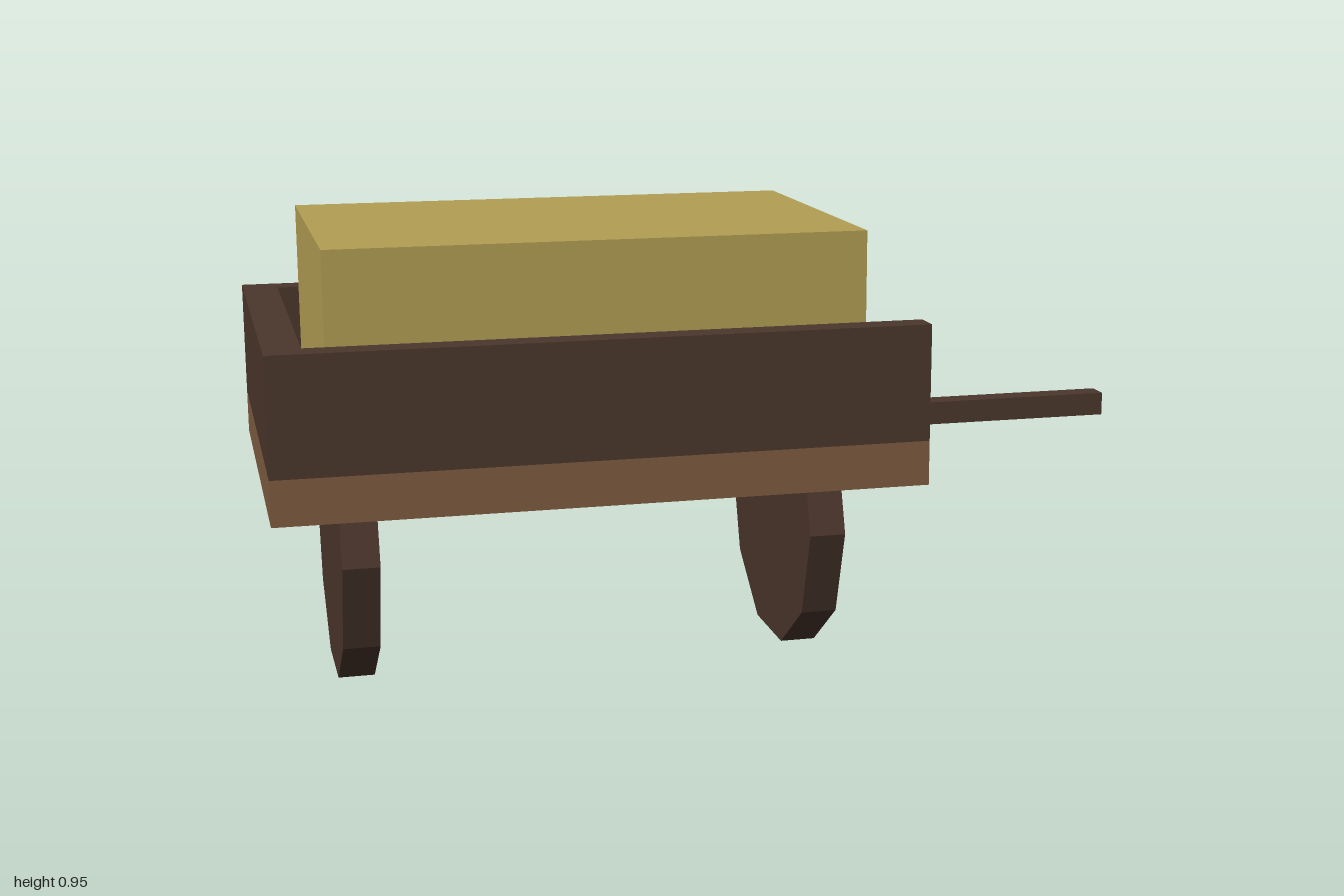
import * as THREE from 'three';

const material = (name, color) => {
  const m = new THREE.MeshStandardMaterial({ color });
  m.name = name;
  return m;
};

export function createModel() {
  const cart = new THREE.Group();
  cart.name = 'handCart';
  const darkWood = material('darkWood', 0x4b362c);
  const lightWood = material('lightWood', 0x7f5d41);
  const straw = material('straw', 0xb39f53);

  const add = (name, geometry, mat) => {
    const mesh = new THREE.Mesh(geometry, mat);
    mesh.name = name;
    cart.add(mesh);
    return mesh;
  };

  // Box given by its limits on each axis
  const box = (name, mat, [x0, x1], [y0, y1], [z0, z1]) =>
    add(name, new THREE.BoxGeometry(x1 - x0, y1 - y0, z1 - z0), mat)
      .position.set((x0 + x1) / 2, (y0 + y1) / 2, (z0 + z1) / 2);

  // Bed with three boards, open at the handle end
  box('bed', lightWood, [-1, 0.33], [0.427, 0.52], [-0.43, 0.43]);
  box('frontBoard', darkWood, [-1, 0.33], [0.52, 0.762], [0.37, 0.43]);
  box('backBoard', darkWood, [-1, 0.33], [0.52, 0.762], [-0.43, -0.37]);
  box('endBoard', darkWood, [-1, -0.925], [0.52, 0.762], [-0.37, 0.37]);

  // Load of straw
  box('strawBale', straw, [-0.88, 0.215], [0.596, 0.947], [-0.352, 0.352]);

  // Single pull handle, tucked under the bed
  box('handle', darkWood, [0.29, 1], [0.4, 0.453], [-0.262, -0.208]);

  // Ten-sided wheels whose tops come up through the bed
  for (const [name, x] of [['rearWheel', -0.822], ['handleEndWheel', 0.15]]) {
    const wheel = new THREE.CylinderGeometry(0.315, 0.315, 0.076, 10).toNonIndexed();
    wheel.rotateY(Math.PI / 2); // corner points along the cart's z axis
    wheel.rotateX(Math.PI / 2);
    wheel.rotateY(Math.PI / 2);
    // Corners sit at z = ±0.315, with a flat edge on the ground
    wheel.rotateX(Math.PI / 2);
    wheel.computeVertexNormals();
    const pos = wheel.attributes.position;
    let low = 0;
    for (let i = 0; i < pos.count; i++) low = Math.min(low, pos.getY(i));
    if (low < -0.31) wheel.rotateX(Math.PI / 2);
    add(name, wheel, darkWood).position.set(x, 0.3, 0);
  }
  return cart;
}
